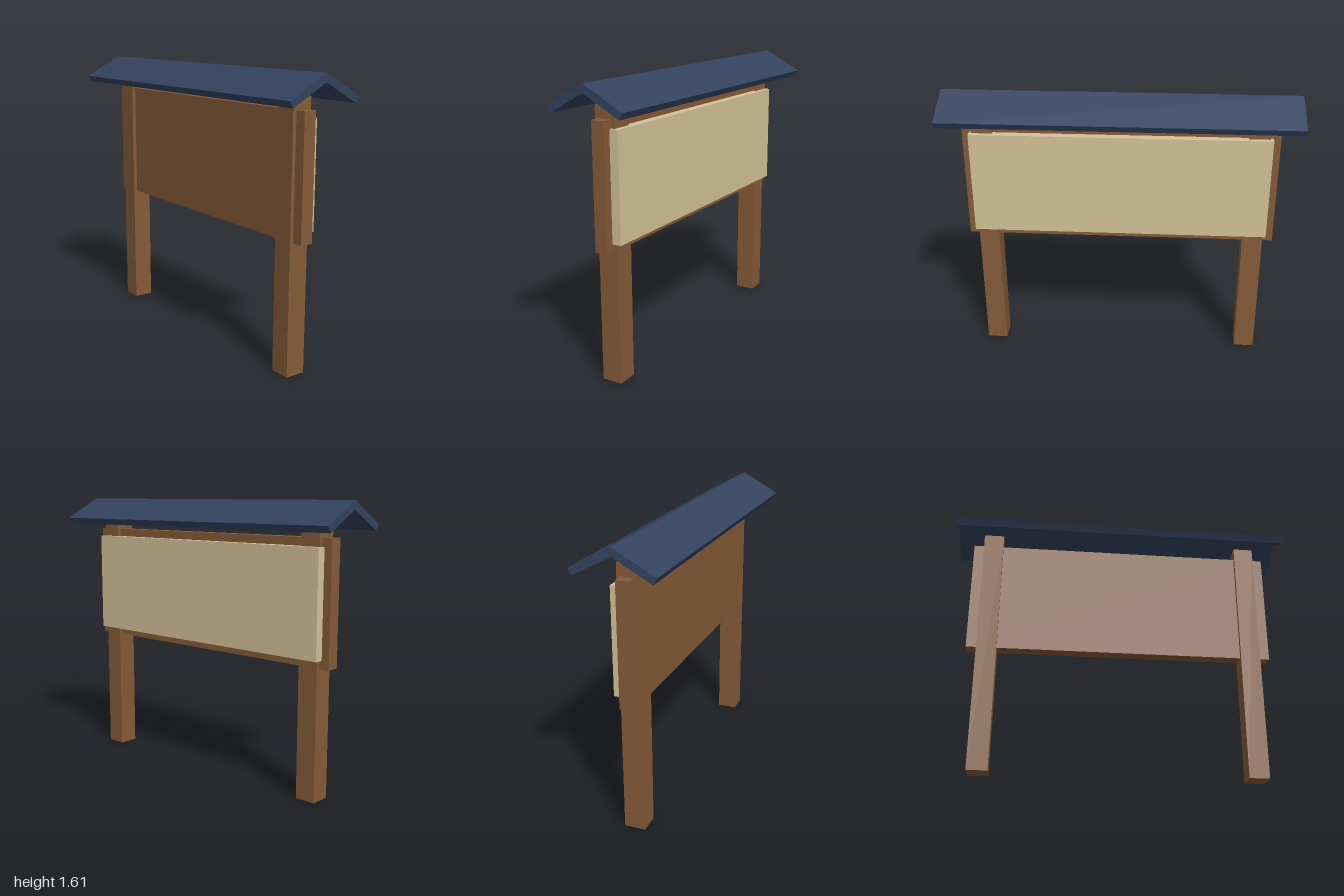
import * as THREE from 'three';

const wood = new THREE.MeshStandardMaterial({ name: 'brown wood', color: 0x865b38 });
const cork = new THREE.MeshStandardMaterial({ name: 'beige panel', color: 0xd4c298 });
const roofing = new THREE.MeshStandardMaterial({ name: 'navy roof', color: 0x33435f });

// Box spanning two opposite corners
function box(name, material, [x0, y0, z0], [x1, y1, z1]) {
  const mesh = new THREE.Mesh(new THREE.BoxGeometry(x1 - x0, y1 - y0, z1 - z0), material);
  mesh.position.set((x0 + x1) / 2, (y0 + y1) / 2, (z0 + z1) / 2);
  mesh.name = name;
  return mesh;
}

export function createModel() {
  const group = new THREE.Group();
  group.name = 'noticeBoard';

  // Two square posts
  for (const [name, x] of [['leftPost', 0.777], ['rightPost', -0.777]]) {
    group.add(box(name, wood, [x - 0.0585, 0, -0.0585], [x + 0.0585, 1.48, 0.0585]));
  }

  // Backing board and the pinning panel on its rear face
  group.add(box('backingBoard', wood, [-0.895, 0.735, -0.037], [0.895, 1.415, 0.037]));
  group.add(box('pinningPanel', cork, [-0.85, 0.78, -0.088], [0.85, 1.37, -0.036]));

  // Gabled roof: a chevron section extruded along x
  const section = new THREE.Shape([
    [0, 1.605], [-0.226, 1.484], [-0.206, 1.449],
    [0, 1.559], [0.206, 1.449], [0.226, 1.484],
  ].map(([z, y]) => new THREE.Vector2(z, y)));
  const roofGeometry = new THREE.ExtrudeGeometry(section, { depth: 2, bevelEnabled: false });
  roofGeometry.translate(0, 0, -1).rotateY(Math.PI / 2);
  const roof = new THREE.Mesh(roofGeometry, roofing);
  roof.name = 'gabledRoof';
  group.add(roof);

  return group;
}
